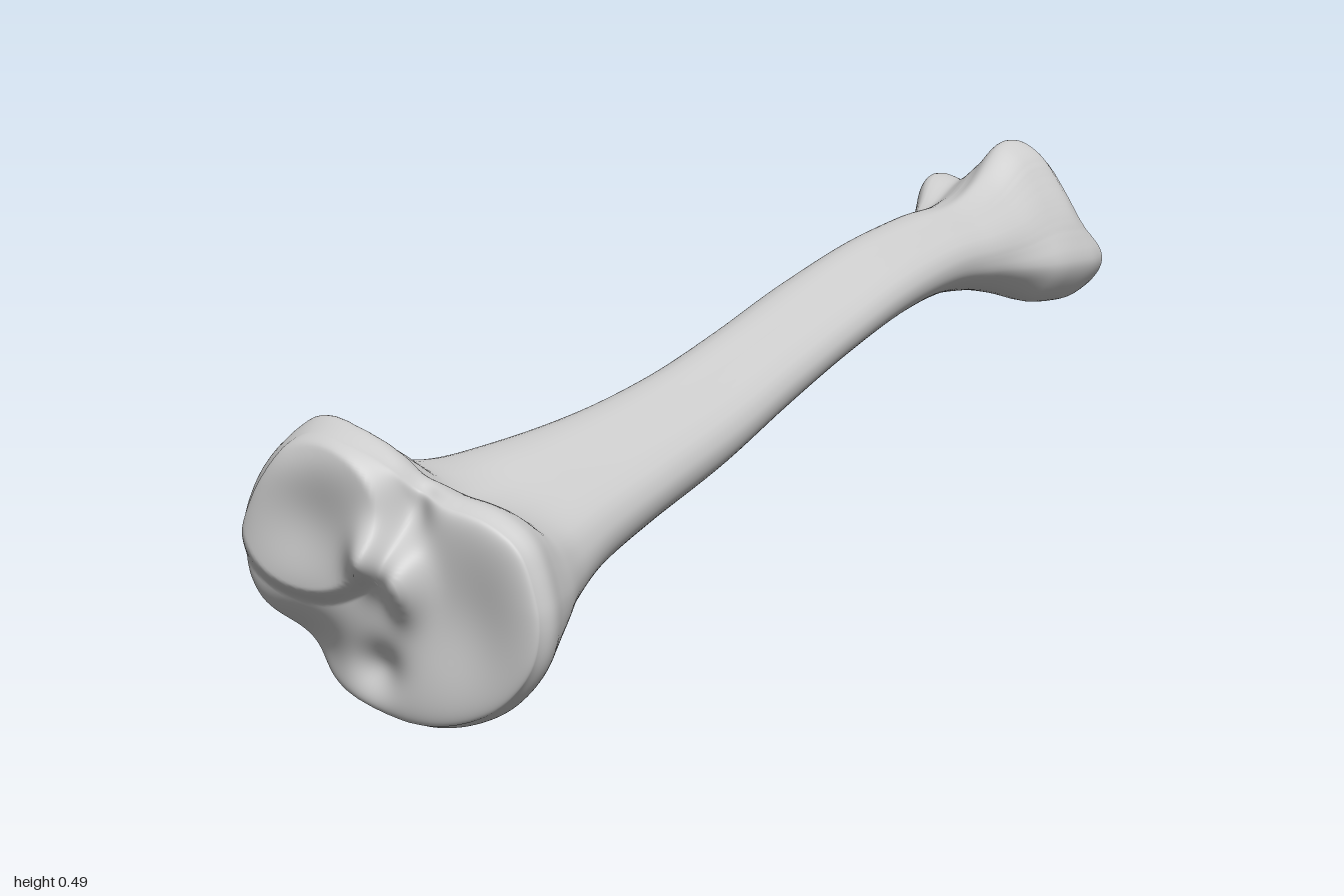
import * as THREE from 'three';

const SIDES = 160;

// Outline points [x, y] turned into radii at even angles, relative to their bounding box (-1..1)
function polarOutline(points) {
  const curve = new THREE.CatmullRomCurve3(points.map(([x, y]) => new THREE.Vector3(x, y, 0)), true);
  const pts = curve.getPoints(900);
  const box = new THREE.Box3().setFromPoints(pts);
  const c = box.getCenter(new THREE.Vector3()), h = box.getSize(new THREE.Vector3()).multiplyScalar(0.5);
  const polar = pts.map(p => {
    const x = (p.x - c.x) / h.x, y = (p.y - c.y) / h.y;
    return { a: Math.atan2(y, x), r: Math.hypot(x, y) };
  });
  return Array.from({ length: SIDES }, (_, i) => {
    const a = (i / SIDES) * Math.PI * 2;
    let best = 9, r = 1;
    for (const p of polar) {
      const d = Math.abs(Math.atan2(Math.sin(p.a - a), Math.cos(p.a - a)));
      if (d < best) { best = d; r = p.r; }
    }
    return r;
  });
}

// Wide knee end: two condyles with a notch between them
const kneeOutline = polarOutline([
  [0.204, 0.13], [0.198, 0.18], [0.175, 0.235], [0.13, 0.265], [0.07, 0.28], [0.03, 0.292],
  [0.0, 0.32], [-0.05, 0.345], [-0.12, 0.354], [-0.17, 0.3], [-0.197, 0.24], [-0.204, 0.19],
  [-0.185, 0.135], [-0.145, 0.095], [-0.1, 0.05], [-0.02, 0.013], [0.06, 0.001], [0.14, 0.027], [0.19, 0.08]]);
// Narrow ankle end
const ankleOutline = polarOutline([
  [0.198, 0.31], [0.18, 0.36], [0.15, 0.42], [0.11, 0.475], [0.075, 0.49], [0.04, 0.457], [0.0, 0.428],
  [-0.045, 0.434], [-0.06, 0.415], [-0.058, 0.37], [-0.03, 0.33], [0.03, 0.285], [0.1, 0.252], [0.15, 0.25], [0.183, 0.277]]);
// Rounded triangle of the shaft, its crest towards lower left
const shaftOutline = polarOutline(Array.from({ length: 24 }, (_, i) => {
  const a = (i / 24) * Math.PI * 2, r = 1 + 0.11 * Math.cos(3 * (a - 4.1));
  return [r * Math.cos(a), r * Math.sin(a)];
}));

// z, x min, x max, y min, y max, blend (1 knee, 0 shaft, -1 ankle)
const sections = [
  [0.945, -0.185, 0.198, 0.008, 0.343, 1],
  [0.915, -0.198, 0.204, 0.001, 0.355, 1],
  [0.86, -0.205, 0.186, 0.012, 0.335, 1],
  [0.79, -0.182, 0.165, 0.036, 0.291, 0.8],
  [0.7, -0.148, 0.137, 0.053, 0.271, 0.45],
  [0.58, -0.112, 0.119, 0.083, 0.271, 0.15],
  [0.4, -0.072, 0.111, 0.117, 0.281, 0],
  [0.2, -0.046, 0.109, 0.152, 0.302, 0],
  [0, -0.036, 0.108, 0.197, 0.332, 0],
  [-0.2, -0.034, 0.109, 0.237, 0.364, 0],
  [-0.4, -0.021, 0.113, 0.27, 0.396, 0],
  [-0.58, -0.013, 0.12, 0.285, 0.414, -0.1],
  [-0.7, -0.02, 0.135, 0.279, 0.421, -0.35],
  [-0.79, -0.042, 0.154, 0.265, 0.443, -0.7],
  [-0.86, -0.06, 0.18, 0.25, 0.486, -1],
  [-0.905, -0.06, 0.197, 0.246, 0.49, -1],
  [-0.938, -0.053, 0.195, 0.249, 0.474, -1]];

const bump = (x, y, cx, cy, rx, ry) => Math.exp(-(((x - cx) / rx) ** 2) - (((y - cy) / ry) ** 2));
const step = THREE.MathUtils.smoothstep;

// Relief of the knee surface: raised lateral plate, spines, dishes and notches
function kneeRelief(x, y) {
  const d = Math.hypot((x + 0.088) / 0.108, (y - 0.247) / 0.1);
  return 0.02 * (1 - step(d, 0.84, 1.08))
    - 0.014 * bump(x, y, -0.09, 0.24, 0.06, 0.06)
    + 0.036 * bump(x, y, 0.035, 0.18, 0.022, 0.04)
    + 0.03 * bump(x, y, -0.005, 0.205, 0.025, 0.035)
    - 0.014 * bump(x, y, 0.11, 0.13, 0.06, 0.08)
    - 0.045 * bump(x, y, -0.13, 0.08, 0.07, 0.05)
    - 0.02 * bump(x, y, -0.01, 0.07, 0.03, 0.03)
    - 0.025 * bump(x, y, 0.035, 0.265, 0.025, 0.04)
    - 0.02 * bump(x, y, -0.12, 0.36, 0.07, 0.04);
}

// Relief of the ankle surface: hollow joint face beside the projecting malleolus
function ankleRelief(x, y) {
  return 0.064 * bump(x, y, 0.135, 0.28, 0.055, 0.04)
    + 0.03 * bump(x, y, 0.185, 0.315, 0.03, 0.04)
    - 0.032 * bump(x, y, 0.05, 0.37, 0.065, 0.055)
    - 0.016 * bump(x, y, 0.02, 0.44, 0.04, 0.03)
    + 0.01 * bump(x, y, 0.0, 0.31, 0.05, 0.03);
}

function boneGeometry() {
  const spline = f => new THREE.CatmullRomCurve3(sections.map(f), false, 'catmullrom', 0.5);
  const across = spline(s => new THREE.Vector3(s[1], s[2], s[0]));
  const upright = spline(s => new THREE.Vector3(s[3], s[4], s[5]));
  const positions = [], index = [];

  function addRing(t, scale, push) {
    const a = across.getPoint(t), b = upright.getPoint(t);
    const knee = THREE.MathUtils.clamp(b.z, 0, 1), ankle = THREE.MathUtils.clamp(-b.z, 0, 1);
    for (let i = 0; i < SIDES; i++) {
      const ang = (i / SIDES) * Math.PI * 2;
      const r = scale * (kneeOutline[i] * knee + ankleOutline[i] * ankle + shaftOutline[i] * (1 - knee - ankle));
      const x = (a.x + a.y) / 2 + r * Math.cos(ang) * (a.y - a.x) / 2;
      const y = (b.x + b.y) / 2 + r * Math.sin(ang) * (b.y - b.x) / 2;
      let z = a.z + push;
      z += kneeRelief(x, y) * step(a.z, 0.82, 0.945) - ankleRelief(x, y) * step(-a.z, 0.84, 0.938);
      positions.push(x, y, z);
    }
  }

  // Knee face, shaft, ankle face
  const capRings = 36, bodyRings = 150;
  const capScale = i => Math.max(0.002, Math.sin((i / capRings) * Math.PI / 2));
  const dome = s => 0.012 * Math.sqrt(Math.max(0, 1 - s ** 8));
  for (let i = 0; i < capRings; i++) addRing(0, capScale(i), dome(capScale(i)));
  for (let i = 0; i <= bodyRings; i++) addRing(i / bodyRings, 1, 0);
  for (let i = capRings - 1; i >= 0; i--) addRing(1, capScale(i), -dome(capScale(i)));

  const rings = positions.length / 3 / SIDES;
  for (let j = 0; j < rings - 1; j++) {
    for (let i = 0; i < SIDES; i++) {
      const a = j * SIDES + i, b = j * SIDES + (i + 1) % SIDES;
      index.push(a, a + SIDES, b, b, a + SIDES, b + SIDES);
    }
  }
  // Close the pin holes at both ends
  const last = (rings - 1) * SIDES;
  for (let i = 1; i < SIDES - 1; i++) index.push(0, i, i + 1, last, last + i + 1, last + i);

  const g = new THREE.BufferGeometry();
  g.setAttribute('position', new THREE.Float32BufferAttribute(positions, 3));
  g.setIndex(index);
  g.computeVertexNormals();
  return g;
}

export function createModel() {
  const group = new THREE.Group();
  group.name = 'shinBone';
  const material = new THREE.MeshStandardMaterial({ color: 0xcccccc });
  const bone = new THREE.Mesh(boneGeometry(), material);
  bone.name = 'bone';
  group.add(bone);

  // Small knob behind the lateral condyle
  const knob = new THREE.Mesh(new THREE.SphereGeometry(1, 32, 24), material);
  knob.name = 'lateralKnob';
  knob.scale.set(0.035, 0.03, 0.05);
  knob.position.set(-0.122, 0.308, 0.875);
  knob.rotation.z = 0.6;
  group.add(knob);
  return group;
}
